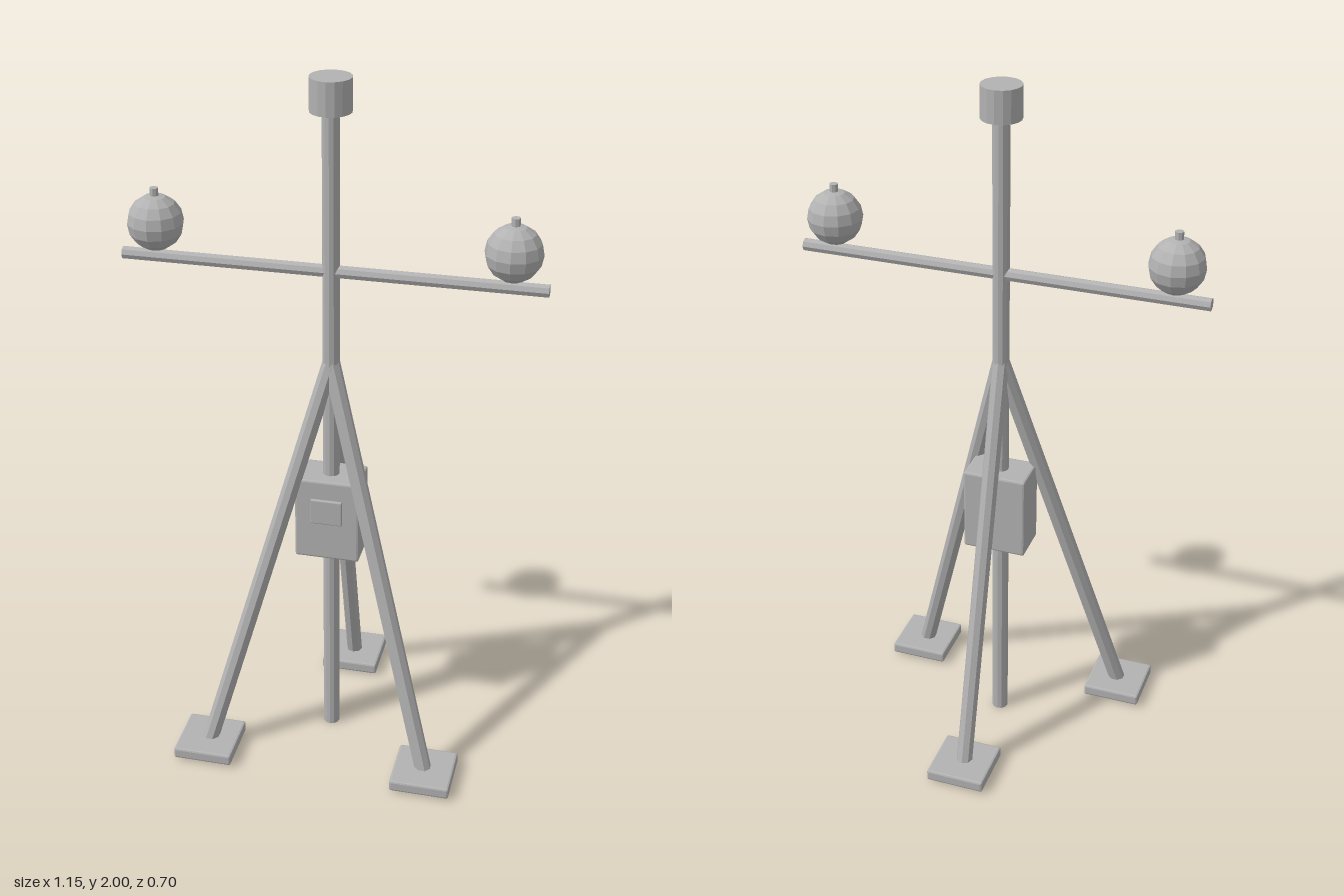
import * as THREE from 'three';
import { RoundedBoxGeometry } from 'three/addons/geometries/RoundedBoxGeometry.js';

const AXIS_Z = 0.055; // the mast stands slightly forward of centre

export function createModel() {
  const group = new THREE.Group();
  const grey = new THREE.MeshStandardMaterial({ color: 0xb2b2b2, flatShading: true });
  grey.name = 'grey metal';

  const add = (name, geometry, x, y, z) => {
    const mesh = new THREE.Mesh(geometry, grey);
    mesh.name = name;
    mesh.position.set(x, y, z);
    group.add(mesh);
    return mesh;
  };

  // Straight rod between two points
  const rod = (name, a, b, radius, sides) => {
    const dir = b.clone().sub(a);
    const mid = a.clone().add(b).multiplyScalar(0.5);
    const mesh = add(name, new THREE.CylinderGeometry(radius, radius, dir.length(), sides), mid.x, mid.y, mid.z);
    mesh.quaternion.setFromUnitVectors(new THREE.Vector3(0, 1, 0), dir.normalize());
    return mesh;
  };
  const v = (x, y, z) => new THREE.Vector3(x, y, z);

  // Mast and its cap
  rod('mast', v(0, 0, AXIS_Z), v(0, 1.95, AXIS_Z), 0.024, 12);
  rod('mastCap', v(0, 1.91, AXIS_Z), v(0, 2, AXIS_Z), 0.056, 16);

  // Tripod legs with square foot pads
  for (const [x, z, name] of [[0.322, 0.262, 'left'], [-0.322, 0.262, 'right'], [0, -0.268, 'back']]) {
    rod(name + 'Leg', v(0, 1.21, AXIS_Z), v(x, 0.025, z), 0.024, 8);
    add(name + 'Foot', new RoundedBoxGeometry(0.172, 0.034, 0.172, 1, 0.006), x, 0.024, z);
  }

  // Cross arm carrying a ball sensor with a small stud at each end
  rod('crossArm', v(-0.576, 1.475, AXIS_Z), v(0.576, 1.475, AXIS_Z), 0.018, 8);
  for (const [side, name] of [[1, 'left'], [-1, 'right']]) {
    add(name + 'Ball', new THREE.SphereGeometry(0.077, 12, 8), side * 0.48, 1.571, AXIS_Z);
    rod(name + 'Stud', v(side * 0.48, 1.63, AXIS_Z), v(side * 0.48, 1.667, AXIS_Z), 0.012, 8);
  }

  // Instrument box with a raised front panel
  add('instrumentBox', new RoundedBoxGeometry(0.184, 0.25, 0.122, 1, 0.006), 0, 0.74, AXIS_Z);
  add('frontPanel', new RoundedBoxGeometry(0.09, 0.076, 0.014, 1, 0.003), 0, 0.77, 0.117);

  return group;
}
